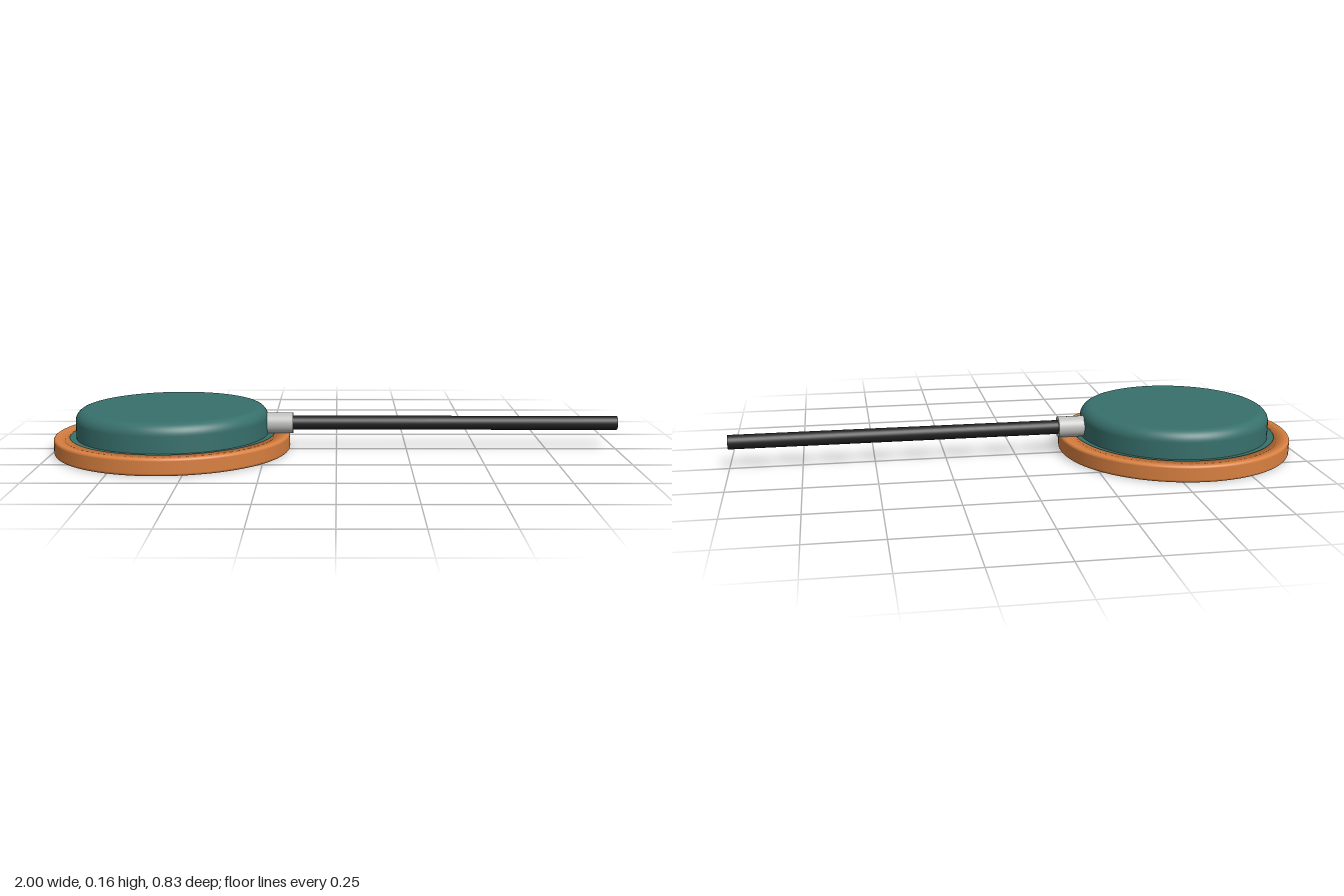
import * as THREE from 'three';

const material = (name, color) => {
  const m = new THREE.MeshStandardMaterial({ color });
  m.name = name;
  return m;
};

export function createModel() {
  const teal = material('teal', 0x37706c);
  const copper = material('copper', 0xd98040);
  const silver = material('silver', 0xbfbfbd);
  const black = material('black', 0x222224);

  const model = new THREE.Group();
  model.name = 'discSensor';
  const CX = -0.583; // disc axis
  const CABLE_Y = 0.095;

  const add = (name, geometry, mat, x, y) => {
    const mesh = new THREE.Mesh(geometry, mat);
    mesh.name = name;
    mesh.position.set(x, y, 0);
    model.add(mesh);
    return mesh;
  };

  // Lathe a shape whose outline runs upward on the outside
  const lathe = (shape) => new THREE.LatheGeometry(shape.getPoints(6), 96);

  // Outer ring with softly rounded rim
  const ring = new THREE.Shape();
  const R = 0.417, H = 0.06, b = 0.01, inner = 0.362;
  ring.moveTo(inner, 0);
  ring.lineTo(R - b, 0);
  ring.absarc(R - b, b, b, -Math.PI / 2, 0);
  ring.lineTo(R, H - b);
  ring.absarc(R - b, H - b, b, 0, Math.PI / 2);
  ring.lineTo(inner, H);
  ring.lineTo(inner, 0);
  add('outerRing', lathe(ring), copper, CX, 0);

  // Base plate filling the ring
  add('basePlate', new THREE.CylinderGeometry(0.363, 0.363, 0.054, 96), teal, CX, 0.03);

  // Domed housing with rounded top edge
  const housing = new THREE.Shape();
  const r = 0.339, top = 0.155, f = 0.04;
  housing.moveTo(r, 0.05);
  housing.lineTo(r, top - f);
  housing.absarc(r - f, top - f, f, 0, Math.PI / 2);
  housing.lineTo(0, top);
  add('housing', lathe(housing), teal, CX, 0);

  // Thin contact disc underneath
  add('contactDisc', new THREE.CylinderGeometry(0.308, 0.308, 0.008, 96), silver, CX, 0.005);

  // Cable and its sleeve, both along x
  const rod = (name, radius, x0, x1, mat) => {
    const geometry = new THREE.CylinderGeometry(radius, radius, x1 - x0, 40);
    geometry.rotateZ(-Math.PI / 2);
    add(name, geometry, mat, (x0 + x1) / 2, CABLE_Y);
  };
  rod('cableSleeve', 0.037, -0.25, -0.154, silver);
  rod('cable', 0.025, -0.2, 1, black);

  return model;
}
